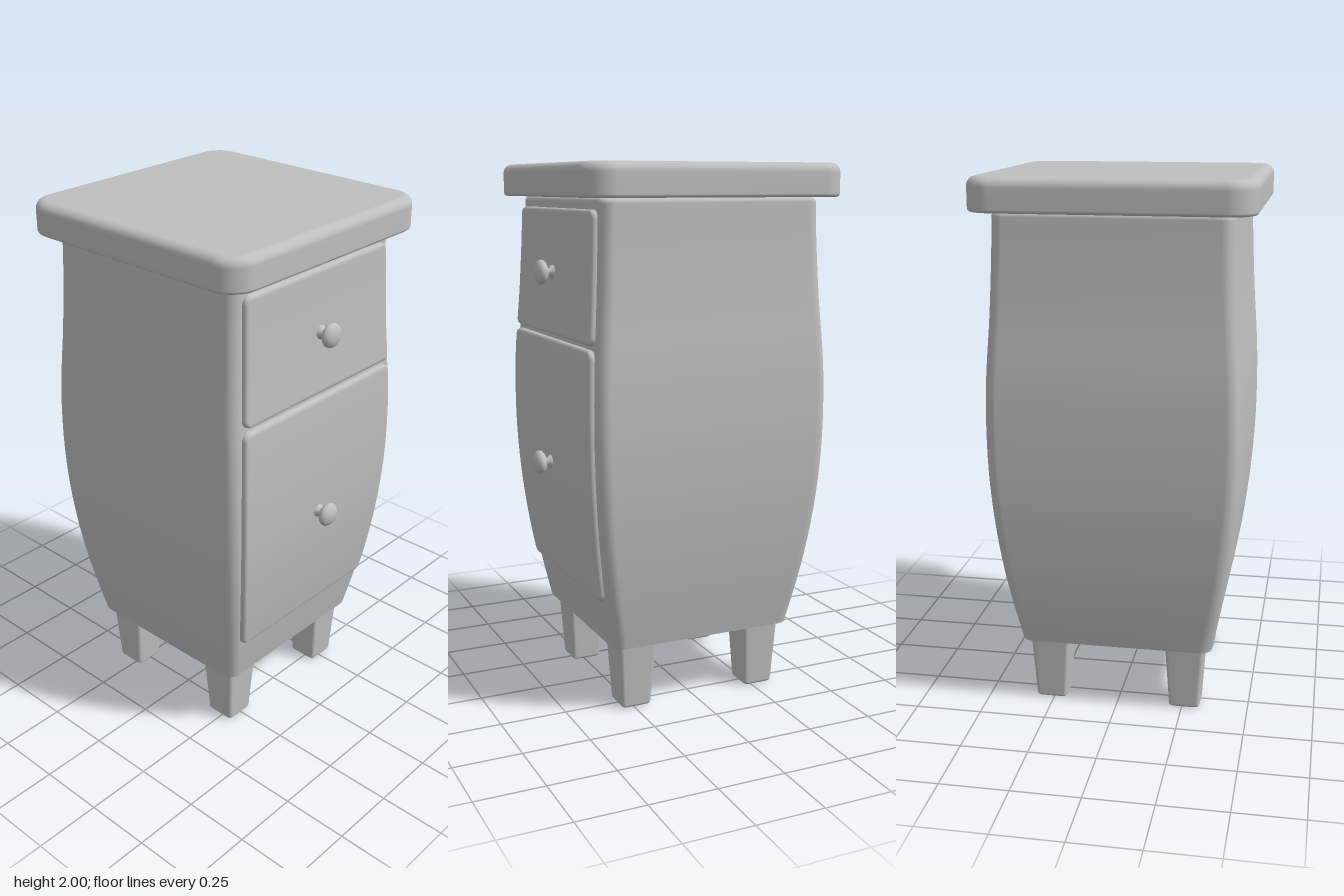
import * as THREE from 'three';

const grey = new THREE.MeshStandardMaterial({ color: 0xbfbfbf });
grey.name = 'plain grey';

const CZ = -0.02; // cabinet centre in depth
const BASE = 0.255, TOP = 1.88;

// Half width of the bulging body at evenly spaced heights, padded by one at each end
const profile = [0.29, 0.363, 0.421, 0.452, 0.455, 0.435, 0.423, 0.43];
const curve = new THREE.SplineCurve(profile.map((w, i) => new THREE.Vector2(i, w)));
const halfWidth = (y) => curve.getPoint((1 + 5 * (y - BASE) / (TOP - BASE)) / 7).y;

// Inset of a rounded edge of radius r at distance d from the end
const roundInset = (r, d) => (d >= r ? 0 : r - Math.sqrt(r * r - (r - d) ** 2));

// Lofts rounded rectangles { y, hx, hz, r, cz } from bottom to top, with flat caps
function loft(rings, seg = 6) {
  const pos = [], index = [];
  const n = 4 * (seg + 1);
  const addRing = ({ y, hx, hz, r, cz = 0 }) => {
    for (let c = 0; c < 4; c++) {
      const sx = c === 0 || c === 3 ? 1 : -1, sz = c < 2 ? 1 : -1;
      for (let s = 0; s <= seg; s++) {
        const a = (c + s / seg) * Math.PI / 2;
        pos.push(sx * (hx - r) + r * Math.cos(a), y, cz + sz * (hz - r) + r * Math.sin(a));
      }
    }
  };
  rings.forEach(addRing);
  for (let i = 0; i < rings.length - 1; i++) {
    for (let j = 0; j < n; j++) {
      const a = i * n + j, b = i * n + (j + 1) % n;
      index.push(a, a + n, b, b, a + n, b + n);
    }
  }
  for (const [ring, up] of [[rings[0], false], [rings[rings.length - 1], true]]) {
    const start = pos.length / 3;
    addRing(ring);
    pos.push(0, ring.y, ring.cz ?? 0);
    for (let j = 0; j < n; j++) {
      const a = start + j, b = start + (j + 1) % n;
      index.push(start + n, ...(up ? [b, a] : [a, b]));
    }
  }
  const g = new THREE.BufferGeometry();
  g.setAttribute('position', new THREE.Float32BufferAttribute(pos, 3));
  g.setIndex(index);
  g.computeVertexNormals();
  return g;
}

// Heights from lo to hi, bunched near rounded ends
function heights(lo, hi, rLo, rHi, steps) {
  const ys = [], ease = (k) => 1 - Math.cos(k / 6 * Math.PI / 2);
  for (let k = 0; k < 6; k++) if (rLo || k === 0) ys.push(lo + rLo * ease(k));
  for (let k = rLo ? 0 : 1; k <= steps; k++) ys.push(lo + rLo + (hi - rHi - lo - rLo) * k / steps);
  if (rHi) for (let k = 5; k >= 0; k--) ys.push(hi - rHi * ease(k));
  return ys;
}

function mesh(name, geometry) {
  const m = new THREE.Mesh(geometry, grey);
  m.name = name;
  return m;
}

// Drawer front that follows the curve of the body
function drawer(name, lo, hi) {
  const corner = 0.03, edge = 0.014, depth = 0.05, proud = 0.02;
  const rings = heights(lo, hi, corner, corner, 16).map((y) => {
    const d = Math.max(0, Math.min(y - lo, hi - y));
    const front = CZ + halfWidth(y) + proud - roundInset(edge, d);
    const back = CZ + halfWidth(y) + proud - depth;
    return {
      y, hx: halfWidth(y) - 0.045 - roundInset(corner, d),
      hz: (front - back) / 2, cz: (front + back) / 2, r: edge,
    };
  });
  return mesh(name, loft(rings));
}

// Round knob on a short flared stem
function knob(name, y) {
  const pts = [[0.026, -0.01], [0.025, 0.004], [0.015, 0.012], [0.014, 0.026]];
  for (let k = 1; k <= 12; k++) {
    const a = -Math.PI / 2 + 0.3 + (Math.PI - 0.3) * k / 12;
    pts.push([Math.max(0, 0.045 * Math.cos(a)), 0.045 + 0.025 * Math.sin(a)]);
  }
  const g = new THREE.LatheGeometry(pts.map((p) => new THREE.Vector2(...p)), 28);
  g.rotateX(Math.PI / 2);
  const m = mesh(name, g);
  m.position.set(0, y, CZ + halfWidth(y) + 0.02);
  return m;
}

export function createModel() {
  const model = new THREE.Group();
  model.name = 'bedsideCabinet';

  // Curved body with soft vertical corners
  model.add(mesh('body', loft(heights(BASE, TOP, 0, 0.018, 28).map((y) => {
    const h = halfWidth(y) - roundInset(0.018, Math.max(0, TOP - y));
    return { y, hx: h, hz: h, r: 0.045, cz: CZ };
  }))));

  // Overhanging top with rounded edges
  model.add(mesh('tabletop', loft(heights(1.88, 2, 0.012, 0.034, 2).map((y) => {
    const inset = roundInset(0.012, Math.max(0, y - 1.88)) + roundInset(0.034, Math.max(0, 2 - y));
    return { y, hx: 0.5 - inset, hz: 0.5 - inset, r: 0.1 - inset, cz: CZ };
  }), 10)));

  // Drawers and their knobs
  model.add(drawer('upperDrawer', 1.38, 1.84), drawer('lowerDrawer', 0.44, 1.365));
  model.add(knob('upperKnob', 1.61), knob('lowerKnob', 0.9));

  // Four tapered legs
  const legShape = loft(heights(0, 0.26, 0.012, 0, 2).map((y) => {
    const h = 0.058 + 0.016 * y / 0.26 - roundInset(0.012, Math.max(0, y));
    return { y, hx: h, hz: h, r: 0.014 };
  }), 4);
  for (const [sz, end] of [[1, 'front'], [-1, 'back']]) {
    for (const [sx, side] of [[1, 'Left'], [-1, 'Right']]) {
      const leg = mesh(`${end}${side}Leg`, legShape);
      leg.position.set(sx * 0.259, 0, CZ + sz * 0.259);
      model.add(leg);
    }
  }
  return model;
}
